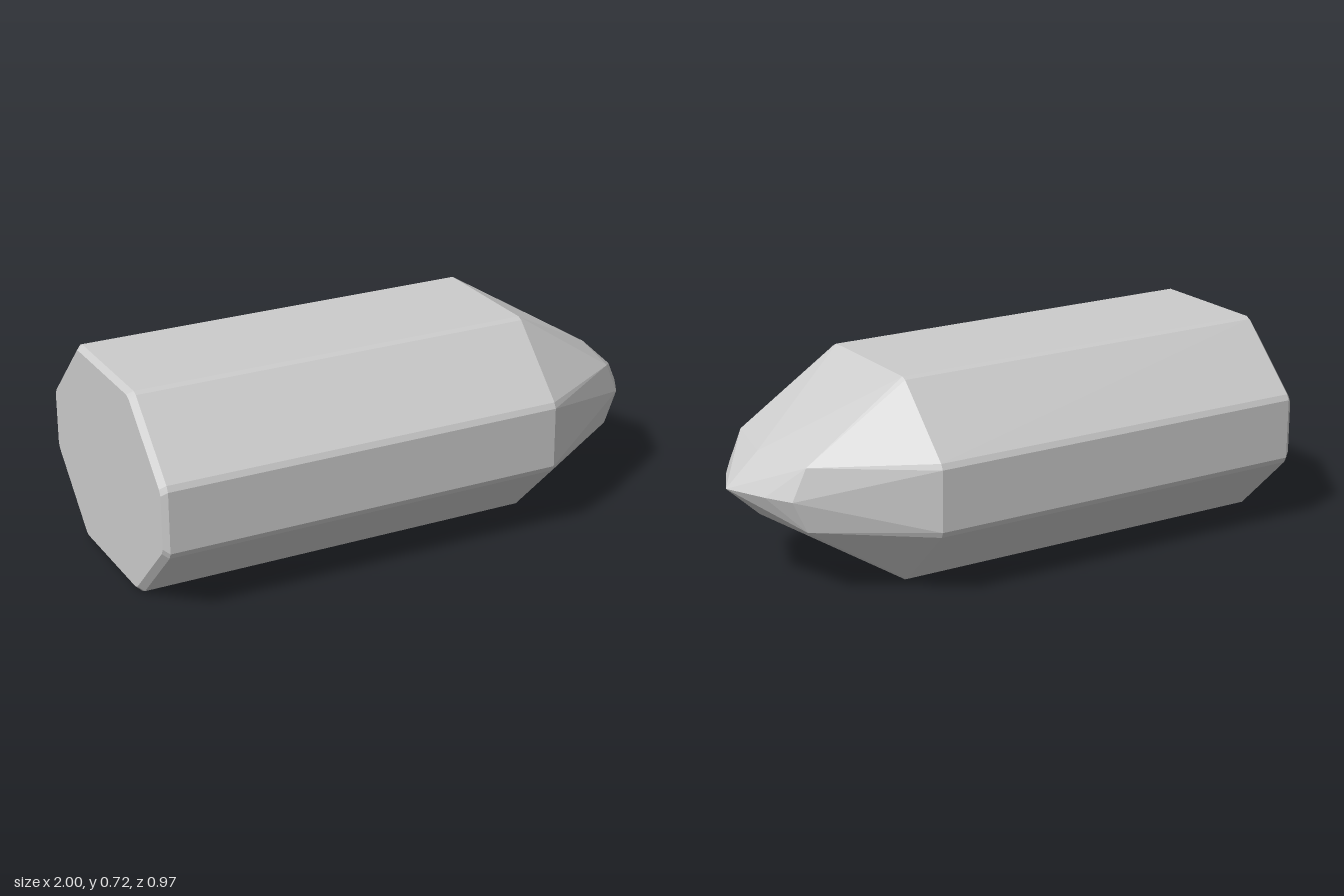
import * as THREE from 'three';
import { ConvexGeometry } from 'three/addons/geometries/ConvexGeometry.js';

const MID_Y = 0.36;

// One quadrant of the octagonal section as [z, y from the axis], with slightly eased corners
const QUADRANT = [[0.23, 0.36], [0.248, 0.352], [0.477, 0.128], [0.487, 0.108]];

// Adds a point mirrored across the two long symmetry planes
function addMirrored(points, x, z, y) {
  for (const sz of z ? [1, -1] : [1]) {
    for (const sy of y ? [1, -1] : [1]) {
      points.push(new THREE.Vector3(x, MID_Y + sy * y, sz * z));
    }
  }
}

export function createModel() {
  const group = new THREE.Group();
  group.name = 'crystal';
  const points = [];

  // Octagonal shaft: eased back end, then full section at both ends
  for (const [z, y] of QUADRANT) {
    addMirrored(points, -1, z - 0.015, y - 0.015);
    addMirrored(points, -0.98, z, y);
    addMirrored(points, 0.455, z, y);
  }

  // Faceted point: shoulder corners, centre of the shoulders, side ridge ends, apex
  addMirrored(points, 0.825, 0.243, 0.112);
  addMirrored(points, 0.88, 0, 0.112);
  addMirrored(points, 0.875, 0.238, 0);
  addMirrored(points, 0.93, 0.145, 0);
  addMirrored(points, 1, 0, 0);

  const mesh = new THREE.Mesh(
    new ConvexGeometry(points),
    new THREE.MeshStandardMaterial({ color: 0xcccccc, flatShading: true })
  );
  mesh.name = 'crystalShard';
  group.add(mesh);
  return group;
}
